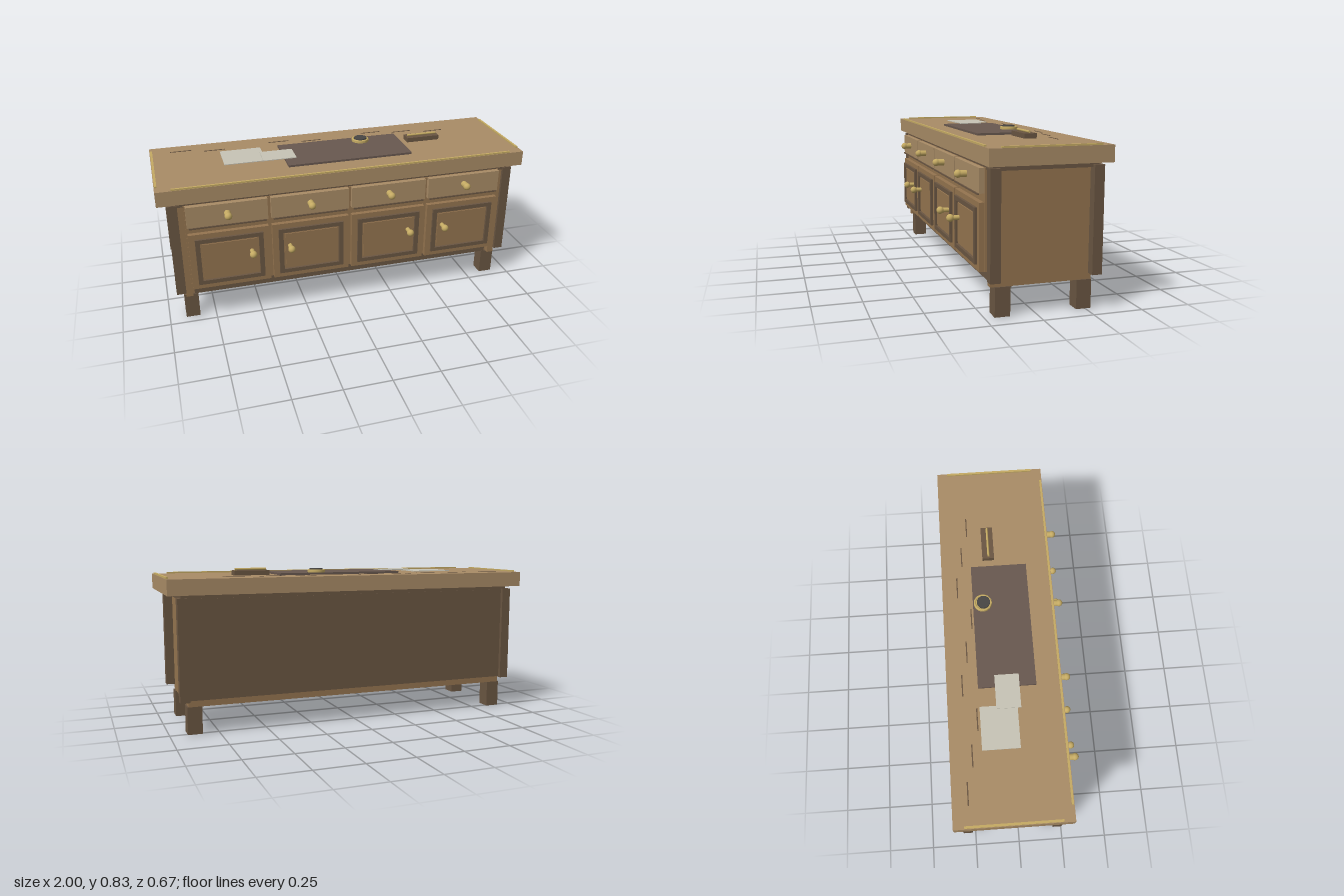
import * as THREE from 'three';

const mat = (color) => new THREE.MeshStandardMaterial({ color });

export function createModel() {
  const model = new THREE.Group();
  const wood = mat(0x94744f), dark = mat(0x6a5642), light = mat(0xa88b66);
  const brass = mat(0xc4aa63), paper = mat(0xc6c3b5), leather = mat(0x68584f), ink = mat(0x484644);

  const add = (name, geometry, material, parent = model) => {
    const mesh = new THREE.Mesh(geometry, material);
    mesh.name = name;
    parent.add(mesh);
    return mesh;
  };
  // Box given by its lower and upper limits on each axis
  const box = (name, material, x0, x1, y0, y1, z0, z1, parent) => {
    const mesh = add(name, new THREE.BoxGeometry(x1 - x0, y1 - y0, z1 - z0), material, parent);
    mesh.position.set((x0 + x1) / 2, (y0 + y1) / 2, (z0 + z1) / 2);
    return mesh;
  };

  // Carcass
  box('carcass', wood, -0.905, 0.905, 0.145, 0.69, -0.275, 0.195);
  box('faceFrame', wood, -0.87, 0.87, 0.21, 0.69, 0.195, 0.24);
  box('bottomRail', dark, -0.855, 0.855, 0.145, 0.21, 0.19, 0.203);
  box('toeKick', dark, -0.855, 0.855, 0.12, 0.146, 0.105, 0.13);
  box('backPanel', dark, -0.905, 0.905, 0.18, 0.69, -0.292, -0.27);
  box('topMoulding', dark, -0.93, 0.93, 0.682, 0.71, -0.29, 0.235);
  box('countertop', light, -1, 1, 0.71, 0.79, -0.331, 0.263);

  // Corner posts, legs and edge inlays, mirrored left and right
  for (const s of [-1, 1]) {
    const sideBox = (name, m, a, b, ...rest) => box(name, m, Math.min(s * a, s * b), Math.max(s * a, s * b), ...rest);
    sideBox('frontPost', dark, 0.9, 0.95, 0.175, 0.695, 0.19, 0.24);
    sideBox('backPost', dark, 0.9, 0.95, 0.175, 0.695, -0.31, -0.26);
    sideBox('frameStile', wood, 0.865, 0.902, 0.145, 0.69, 0.19, 0.225);
    for (const [name, z] of [['frontLeg', 0.168], ['backLeg', -0.237]]) {
      sideBox(name, dark, 0.837, 0.912, 0.003, 0.146, z - 0.0375, z + 0.0375);
      sideBox('footPad', ink, 0.855, 0.894, 0, 0.004, z - 0.02, z + 0.02);
    }
    sideBox('sideInlay', brass, 0.985, 0.997, 0.788, 0.798, -0.275, 0.205);
  }
  box('frontInlay', brass, -0.92, 0.92, 0.788, 0.798, 0.249, 0.26);

  // Knob: a stem and a ball pointing forward
  const knob = (name, x, y, z0, stemRadius, ballZ, ballRadius) => {
    const group = new THREE.Group();
    group.name = name;
    group.position.set(x, y, 0);
    model.add(group);
    const stem = add('stem', new THREE.CylinderGeometry(stemRadius, stemRadius, ballZ - z0, 20), brass, group);
    stem.rotation.x = Math.PI / 2;
    stem.position.z = (z0 + ballZ) / 2;
    add('ball', new THREE.SphereGeometry(ballRadius, 20, 14), brass, group).position.z = ballZ;
  };

  // Raised rectangular moulding for the doors
  const rectangle = (Type, w, h) => new Type([[-w, -h], [w, -h], [w, h], [-w, h]]
    .map(([x, y]) => new THREE.Vector2(x / 2, y / 2)));
  const ring = rectangle(THREE.Shape, 0.354, 0.266);
  ring.holes.push(rectangle(THREE.Path, 0.306, 0.222));
  const ringGeometry = new THREE.ExtrudeGeometry(ring, { depth: 0.014, bevelEnabled: false });

  // Four bays, each with a drawer above a door
  const doorKnobs = [-0.54, -0.336, 0.332, 0.537];
  for (let i = 0; i < 4; i++) {
    const x = (i - 1.5) * 0.436;
    box('drawerFront', light, x - 0.209, x + 0.209, 0.573, 0.69, 0.238, 0.265);
    box('drawerLip', dark, x - 0.2, x + 0.2, 0.566, 0.574, 0.262, 0.271);
    knob('drawerKnob', x, 0.637, 0.264, 0.017, 0.306, 0.0195);
    box('door', wood, x - 0.209, x + 0.209, 0.21, 0.532, 0.238, 0.265);
    add('doorMoulding', ringGeometry, dark).position.set(x, 0.372, 0.264);
    box('doorPanel', wood, x - 0.142, x + 0.142, 0.272, 0.472, 0.262, 0.27);
    knob('doorKnob', doorKnobs[i], 0.401, 0.264, 0.012, 0.315, 0.0195);
  }

  // Grain marks on the countertop
  for (let i = 0; i < 9; i++) {
    const x = (i - 4) * 0.184 - 0.095, z = [-0.25, -0.218, -0.183][i % 3];
    box('grainMark', dark, x - 0.058, x + 0.058, 0.788, 0.792, z - 0.003, z + 0.003);
  }

  // Desk mat and papers
  box('deskMat', leather, -0.3, 0.39, 0.789, 0.801, -0.17, 0.13);
  box('paper', paper, -0.625, -0.4, 0.796, 0.8, -0.168, 0.025);
  box('paper', paper, -0.418, -0.238, 0.803, 0.807, -0.083, 0.043);

  // Inkwell
  add('inkwellBase', new THREE.CylinderGeometry(0.048, 0.048, 0.012, 32), brass).position.set(0.17, 0.806, -0.117);
  const rim = add('inkwellRim', new THREE.TorusGeometry(0.042, 0.006, 10, 32), brass);
  rim.rotation.x = Math.PI / 2;
  rim.position.set(0.17, 0.811, -0.117);
  add('inkwellCap', new THREE.CylinderGeometry(0.035, 0.035, 0.02, 32), ink).position.set(0.17, 0.812, -0.113);

  // Pen tray with a pen
  box('penTray', dark, 0.43, 0.62, 0.789, 0.815, -0.104, -0.04);
  const pen = add('pen', new THREE.CylinderGeometry(0.006, 0.006, 0.17, 16), brass);
  pen.rotation.z = Math.PI / 2;
  pen.position.set(0.525, 0.822, -0.07);

  return model;
}
